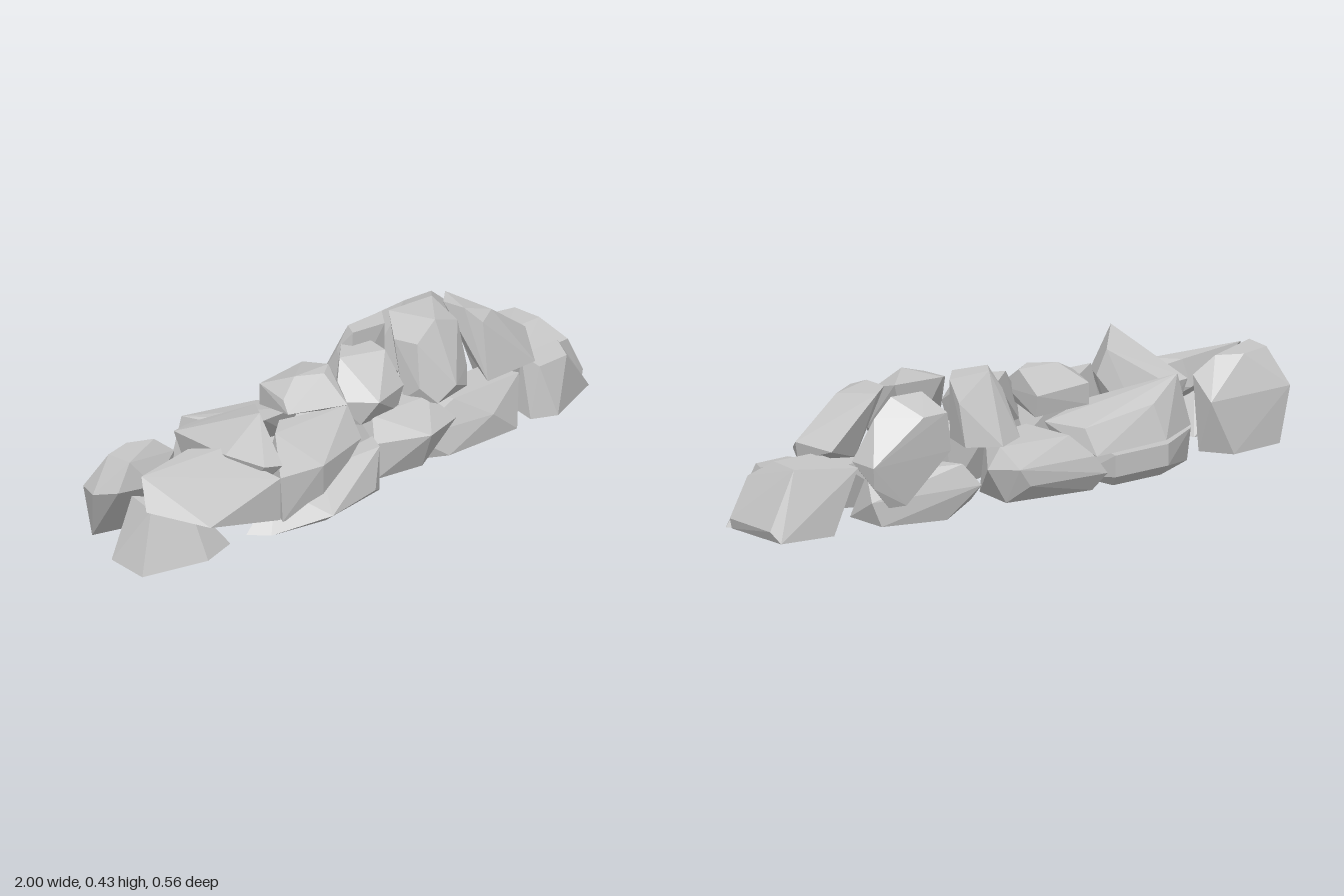
import * as THREE from 'three';
import { ConvexGeometry } from 'three/addons/geometries/ConvexGeometry.js';

const stone = new THREE.MeshStandardMaterial({ color: 0xc6c6c6 });
stone.name = 'grey stone';

// A faceted boulder: the hull of a few level outlines, each [height, x, z, x, z, ...]
function boulder(group, name, ...outlines) {
  const points = [];
  for (const [y, ...xz] of outlines) {
    for (let i = 0; i < xz.length; i += 2) points.push(new THREE.Vector3(xz[i], y, xz[i + 1]));
  }
  const mesh = new THREE.Mesh(new ConvexGeometry(points), stone);
  mesh.name = name;
  group.add(mesh);
}

// Stones resting on the ground along the front
function frontCourse() {
  const g = new THREE.Group();
  g.name = 'frontCourse';
  boulder(g, 'leftEndFrontStone',
    [0.02, 0.68, 0.17, 0.76, 0.21, 0.99, 0.12, 0.7, 0.09, 0.96, 0.09],
    [0.185, 0.72, 0.17, 0.84, 0.17],
    [0.2, 0.72, 0.09, 0.88, 0.09]);
  boulder(g, 'leftEndBackStone',
    [0.025, 0.76, 0.085, 0.99, 0.088, 0.96, -0.13, 0.78, -0.16],
    [0.06, 1, 0.085, 0.98, -0.1],
    [0.185, 0.72, 0.088, 0.93, 0.088],
    [0.245, 0.74, 0, 0.89, 0.005, 0.89, -0.1],
    [0.235, 0.7, -0.175]);
  boulder(g, 'longFrontStone',
    [0.015, 0.2, 0.1, 0.32, 0.17, 0.61, 0.18, 0.65, 0.1, 0.4, 0.01],
    [0.1, 0.2, 0.13, 0.5, 0.185],
    [0.175, 0.66, 0.14, 0.62, 0.02, 0.36, 0.02, 0.38, 0.13]);
  boulder(g, 'middleFrontStone',
    [0.02, 0, 0.08, 0.03, 0.14, 0.2, 0.17, 0.2, 0.02],
    [0.14, 0.02, 0.14, 0.19, 0.22, 0.34, 0.18],
    [0.215, 0.05, 0.1, 0.28, 0.12, 0.06, 0, 0.24, 0.01]);
  boulder(g, 'wideFrontStone',
    [0.02, -0.55, 0.14, -0.5, 0.2, -0.3, 0.24, -0.02, 0.2, 0, 0.1, -0.3, 0.05],
    [0.05, -0.31, 0.28, -0.08, 0.24],
    [0.13, -0.25, 0.18, -0.4, 0.12],
    [0.165, 0.02, 0.13, -0.02, 0.2]);
  boulder(g, 'rightEndStone',
    [0.02, -1, 0.13, -0.77, 0.19, -0.63, 0.15, -0.7, 0, -0.97, -0.03],
    [0.2, -0.91, 0.08, -0.77, 0.1, -0.87, -0.04]);
  return g;
}

// Stones resting on the ground along the back
function backCourse() {
  const g = new THREE.Group();
  g.name = 'backCourse';
  boulder(g, 'tallRightStone',
    [0.02, -0.88, -0.2, -0.7, -0.21, -0.63, -0.12],
    [0.2, -0.92, -0.2, -0.62, -0.2, -0.95, -0.13],
    [0.22, -0.92, -0.05, -0.8, -0.01],
    [0.26, -0.63, -0.09],
    [0.315, -0.88, -0.04, -0.7, -0.11, -0.78, -0.15, -0.88, -0.13]);
  boulder(g, 'lowBackStone',
    [0.02, -0.55, -0.17, -0.4, -0.24, -0.22, -0.24, -0.18, -0.1, -0.5, -0.02],
    [0.06, -0.4, -0.28, -0.2, -0.28],
    [0.13, -0.4, -0.28, -0.2, -0.28, -0.55, -0.19, -0.22, -0.1]);
  boulder(g, 'middleBackStone',
    [0.02, -0.14, -0.24, 0.15, -0.19, 0.15, -0.05, -0.1, -0.05],
    [0.08, -0.17, -0.28, 0.1, -0.25],
    [0.14, -0.13, -0.27, 0.14, -0.25, 0.22, -0.19],
    [0.21, -0.06, -0.23, 0.18, -0.2, 0.15, -0.08, -0.02, -0.06]);
  boulder(g, 'leftBackStone',
    [0, 0.36, -0.17],
    [0.02, 0.6, -0.16, 0.22, -0.1, 0.62, -0.02, 0.25, 0],
    [0.1, 0.25, -0.2, 0.63, -0.15],
    [0.17, 0.3, -0.17, 0.6, -0.08, 0.4, -0.01]);
  return g;
}

// Stones leaning on the lower courses
function middleCourse() {
  const g = new THREE.Group();
  g.name = 'middleCourse';
  boulder(g, 'slopingStone',
    [0.06, -0.46, 0.2, -0.52, 0.13],
    [0.14, -0.78, 0.21, -0.72, 0.06],
    [0.2, -0.93, 0.08, -0.46, 0.2, -0.45, 0.13, -0.66, -0.04],
    [0.29, -0.89, 0.02, -0.75, 0, -0.64, -0.02, -0.57, 0.05]);
  boulder(g, 'leaningStone',
    [0.05, -0.45, 0.2, -0.28, 0.21],
    [0.12, -0.4, 0.06, -0.1, 0.06],
    [0.2, -0.46, 0.2, -0.3, 0.23, -0.07, 0.17],
    [0.295, -0.38, 0.1, -0.3, 0.04, -0.07, 0.11]);
  boulder(g, 'wedgeStone',
    [0.1, -0.52, -0.12, -0.42, -0.14, -0.5, 0.06, -0.42, 0.05],
    [0.24, -0.5, 0.17, -0.45, 0.2],
    [0.28, -0.56, -0.16, -0.58, 0.08, -0.48, -0.17, -0.35, 0.03],
    [0.365, -0.375, 0.01],
    [0.4, -0.47, 0.12]);
  boulder(g, 'longBackStone',
    [0.14, -0.55, -0.19, -0.4, -0.27, -0.13, -0.28, -0.1, -0.12],
    [0.22, -0.12, -0.23, -0.06, -0.1],
    [0.25, -0.38, -0.23, -0.36, -0.08, -0.26, -0.06],
    [0.31, -0.51, -0.175]);
  return g;
}

// Stones along the crest
function topCourse() {
  const g = new THREE.Group();
  g.name = 'topCourse';
  boulder(g, 'flatTopStone',
    [0.26, -0.2, -0.14, 0.01, -0.15, -0.04, 0.06],
    [0.3, -0.26, 0.04, -0.08, 0.12, -0.02, 0.04],
    [0.33, -0.2, -0.14, 0.01, -0.16, -0.24, 0],
    [0.375, -0.16, -0.03, -0.02, -0.02, -0.08, 0.02]);
  boulder(g, 'middleTopStone',
    [0.2, -0.05, 0.02, 0, 0.1, 0.16, 0.1, 0.15, -0.04],
    [0.28, -0.06, 0.05, 0.03, 0.15, 0.18, 0.11],
    [0.38, 0.03, -0.02, 0.12, -0.1, 0.19, -0.04, 0.17, 0.04]);
  boulder(g, 'backTopStone',
    [0.22, 0.09, -0.18, 0.19, -0.23, 0.29, -0.17, 0.27, -0.06, 0.12, -0.06],
    [0.36, 0.1, -0.1, 0.3, -0.15],
    [0.425, 0.12, -0.05, 0.15, -0.1, 0.3, -0.1, 0.24, -0.03]);
  boulder(g, 'peakStone',
    [0.2, 0.23, 0.06, 0.28, 0.16, 0.44, 0.13, 0.4, -0.02],
    [0.25, 0.24, 0.12, 0.34, 0.18, 0.47, 0.1],
    [0.39, 0.23, 0.02, 0.25, 0.1, 0.47, 0.06],
    [0.43, 0.31, -0.08, 0.36, 0.07, 0.48, -0.06]);
  boulder(g, 'leftTopStone',
    [0.21, 0.49, 0.17, 0.7, 0.17, 0.76, 0.06, 0.6, -0.02],
    [0.27, 0.77, 0.06, 0.74, -0.09],
    [0.39, 0.51, 0.13, 0.6, 0.08],
    [0.42, 0.49, -0.02, 0.55, -0.07, 0.5, 0.06]);
  boulder(g, 'leftBackTopStone',
    [0.08, 0.52, -0.18, 0.58, -0.17],
    [0.16, 0.42, -0.12, 0.5, -0.05, 0.62, -0.12, 0.65, -0.19],
    [0.23, 0.36, -0.19, 0.66, -0.2, 0.67, -0.1],
    [0.36, 0.38, -0.2, 0.47, -0.2, 0.6, -0.12],
    [0.415, 0.42, -0.12, 0.53, -0.11]);
  return g;
}

export function createModel() {
  const model = new THREE.Group();
  model.name = 'rockWall';
  model.add(frontCourse(), backCourse(), middleCourse(), topCourse());
  return model;
}
